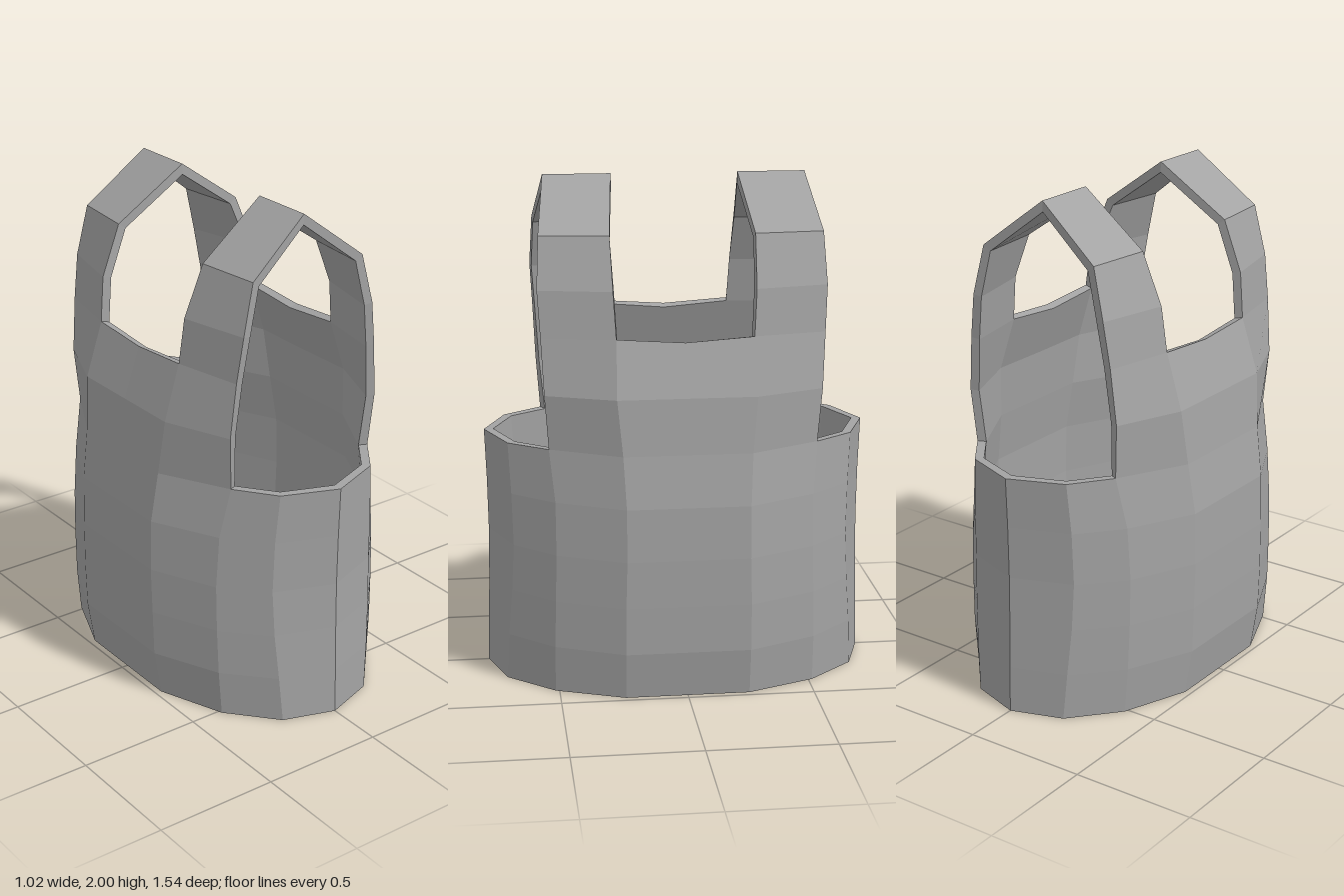
import * as THREE from 'three';

const THICK = 0.035;
const HEIGHTS = [0, 0.19, 0.38, 0.57, 0.78, 0.983, 1.2, 1.42, 1.6, 1.8, 2];

// One quarter of the vest: columns from front centre to side centre, [x, z] listed by height.
const sideX = [0.475, 0.505, 0.51, 0.512, 0.507, 0.478, 0.457, 0.387, 0.367, 0.285, 0];
const sideZ = [0.245, 0.245, 0.245, 0.24, 0.24, 0.25, 0.27, 0.265, 0.275, 0.28, 0.25];
const COLUMNS = [
  { x: [0, 0, 0, 0, 0, 0], z: [0.77, 0.765, 0.76, 0.757, 0.76, 0.767] },
  { x: [0.208, 0.222, 0.235, 0.24, 0.235, 0.22], z: [0.7, 0.69, 0.675, 0.665, 0.67, 0.68] },
  { x: [0.37, 0.385, 0.39, 0.39, 0.375, 0.335, 0.35, 0.33, 0.305, 0.257, 0],
    z: [0.515, 0.515, 0.51, 0.505, 0.505, 0.525, 0.54, 0.55, 0.56, 0.55, 0.517] },
  { x: sideX, z: sideZ },
  { x: sideX, z: sideX.map(() => 0) },
];
const RING = [0, 1, 2, 3, 4, 3, 2, 1, 0, 1, 2, 3, 4, 3, 2, 1];

const faceNormal = (a, b, c, d) => c.clone().sub(a).cross(d.clone().sub(b)).normalize();

function createShell() {
  const outer = [], index = new Map();
  // Vertex on the mirrored ring; matching positions are shared
  const vertex = (k, row) => {
    k %= 16;
    const q = RING[k], c = COLUMNS[q];
    const x = c.x[row] * (k <= 8 ? 1 : -1);
    const z = c.z[row] * (k <= 4 || k >= 12 ? 1 : -1);
    const y = HEIGHTS[row] - (q === 4 && row === 7 ? 0.018 : 0);
    const key = [x, y, z].map((v) => Math.round(v * 1000)).join();
    if (!index.has(key)) {
      index.set(key, outer.length);
      outer.push(new THREE.Vector3(x, y, z));
    }
    return index.get(key);
  };

  // Cells sorted into the parts of the garment
  const parts = { frontPanel: [], backPanel: [], leftSide: [], rightSide: [], shoulderStraps: [] };
  for (let k = 0; k < 16; k++) {
    const low = Math.min(RING[k], RING[(k + 1) % 16]);
    const top = low < 2 ? 5 : low === 2 ? 10 : 7;
    for (let r = 0; r < top; r++) {
      let name = k < 8 ? 'leftSide' : 'rightSide';
      if (low < 2) name = k < 4 || k >= 12 ? 'frontPanel' : 'backPanel';
      else if (r >= 7) name = 'shoulderStraps';
      parts[name].push([vertex(k, r), vertex(k + 1, r), vertex(k + 1, r + 1), vertex(k, r + 1)]);
    }
  }

  // Averaged normals give the inner lining, pushed further in at sharp folds
  const normals = outer.map(() => new THREE.Vector3());
  const counts = outer.map(() => 0);
  const edges = new Set();
  for (const quad of Object.values(parts).flat()) {
    const n = faceNormal(...quad.map((i) => outer[i]));
    quad.forEach((v, i) => {
      normals[v].add(n);
      counts[v]++;
      edges.add(v + '_' + quad[(i + 1) % 4]);
    });
  }
  const inner = outer.map((p, i) => {
    const n = normals[i];
    const depth = THICK * counts[i] / n.length();
    if (p.y === 0) n.setY(0);
    return p.clone().addScaledVector(n.normalize(), -depth);
  });
  return { parts, outer, inner, edges };
}

function partGeometry(quads, { outer, inner, edges }) {
  const pos = [], nor = [];
  // Each four-sided facet is shaded as one flat plane
  const face = (a, b, c, d) => {
    const n = faceNormal(a, b, c, d);
    for (const p of [a, b, c, a, c, d]) {
      pos.push(p.x, p.y, p.z);
      nor.push(n.x, n.y, n.z);
    }
  };
  for (const quad of quads) {
    face(...quad.map((i) => outer[i]));
    face(...quad.map((i) => inner[i]).reverse());
    // Rim along open edges
    quad.forEach((a, i) => {
      const b = quad[(i + 1) % 4];
      if (!edges.has(b + '_' + a)) face(outer[b], outer[a], inner[a], inner[b]);
    });
  }
  const geometry = new THREE.BufferGeometry();
  geometry.setAttribute('position', new THREE.Float32BufferAttribute(pos, 3));
  geometry.setAttribute('normal', new THREE.Float32BufferAttribute(nor, 3));
  return geometry;
}

export function createModel() {
  const vest = new THREE.Group();
  vest.name = 'vest';
  const material = new THREE.MeshStandardMaterial({ color: 0xa3a3a3 });
  const shell = createShell();
  for (const [name, quads] of Object.entries(shell.parts)) {
    const mesh = new THREE.Mesh(partGeometry(quads, shell), material);
    mesh.name = name;
    vest.add(mesh);
  }
  return vest;
}
